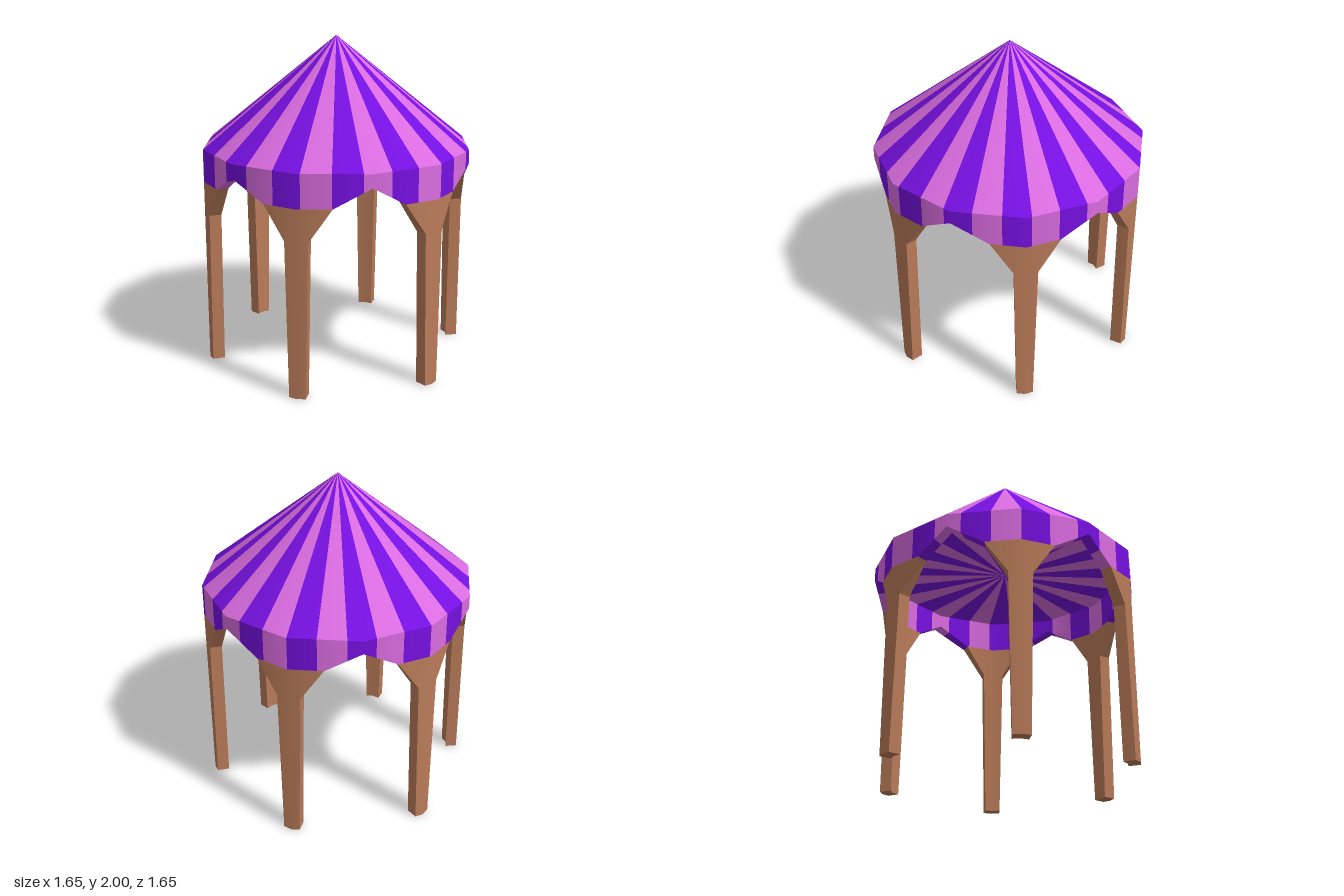
import * as THREE from 'three';

const R = 0.823;        // corner radius of the twelve-sided plan
const INNER = 0.91;     // inner shell scale
const APEX = 2, EAVE = 1.34, SPRING = 1.14, ARCH = 1.26;
const HALF = 0.49;      // half width of a leg head, in plan edges

// Point on the twelve-sided outline; t counts corners from the front (+z) towards +x.
function at(t, y, s = 1) {
  const i = Math.floor(t), f = t - i;
  const corner = (k) => [Math.sin(k * Math.PI / 6), Math.cos(k * Math.PI / 6)];
  const [ax, az] = corner(i), [bx, bz] = corner(i + 1);
  return new THREE.Vector3((ax + (bx - ax) * f) * R * s, y, (az + (bz - az) * f) * R * s);
}

// Normal rules for smooth faces
const outward = (p) => new THREE.Vector3(p.x, 0, p.z).normalize();
const inward = (p) => outward(p).negate();

// Collects triangles; without a normal rule a face is flat.
class Surface {
  constructor() { this.pos = []; this.nor = []; }
  tri(a, b, c, rule) {
    const flat = b.clone().sub(a).cross(c.clone().sub(a)).normalize();
    for (const p of [a, b, c]) {
      this.pos.push(p.x, p.y, p.z);
      this.nor.push(...(rule ? rule(p) : flat).toArray());
    }
  }
  quad(a, b, c, d, rule) { this.tri(a, b, c, rule); this.tri(a, c, d, rule); }
  mesh(name, material) {
    const g = new THREE.BufferGeometry();
    g.setAttribute('position', new THREE.Float32BufferAttribute(this.pos, 3));
    g.setAttribute('normal', new THREE.Float32BufferAttribute(this.nor, 3));
    const m = new THREE.Mesh(g, material);
    m.name = name;
    return m;
  }
}

// Lower edge of the skirt: level at the legs, rising to a point between them
function legDistance(t) { return Math.abs(t - 2 * Math.round(t / 2)); }
function skirtBottom(t) {
  const d = legDistance(t);
  return d <= HALF ? SPRING : SPRING + (ARCH - SPRING) * (d - HALF) / (1 - HALF);
}

// Start of stripe k of 30, very slightly uneven around the canopy
function stripeStart(k) {
  const t = 0.4 * k;
  return t + 0.04 + 0.06 * Math.cos((t - 2) * Math.PI / 6);
}

function buildCanopy(materials) {
  const canopy = new THREE.Group();
  canopy.name = 'canopy';
  const make = () => materials.map(() => new Surface());
  const roof = make(), skirt = make(), ceiling = make();
  const apex = new THREE.Vector3(0, APEX, 0), centre = new THREE.Vector3(0, EAVE, 0);

  for (let k = 0; k < 30; k++) {
    // Split each stripe at the plan corners and the ends of the arches
    const start = stripeStart(k), end = stripeStart(k + 1);
    const cuts = [start, end];
    for (let i = 0; i <= 13; i++) {
      for (const c of i % 2 ? [i] : [i - HALF, i, i + HALF]) {
        if (c > start + 1e-4 && c < end - 1e-4) cuts.push(c);
      }
    }
    cuts.sort((a, b) => a - b);
    const side = k % 2;
    for (let j = 0; j + 1 < cuts.length; j++) {
      const a = cuts[j], b = cuts[j + 1], mid = (a + b) / 2;
      const ya = skirtBottom(a), yb = skirtBottom(b);

      // Sloping roof
      const midOut = outward(at(mid, 0));
      const slope = (p) => (p === apex ? midOut.clone() : outward(p))
        .multiplyScalar(APEX - EAVE).setY(R * 0.97).normalize();
      roof[side].tri(at(a, EAVE), at(b, EAVE), apex, slope);

      // Skirt: outside, inside and the underside of the arches
      skirt[side].quad(at(a, ya), at(b, yb), at(b, EAVE), at(a, EAVE), outward);
      skirt[side].quad(at(b, yb, INNER), at(a, ya, INNER), at(a, EAVE, INNER), at(b, EAVE, INNER), inward);
      if (legDistance(mid) > HALF) {
        skirt[side].quad(at(a, ya), at(a, ya, INNER), at(b, yb, INNER), at(b, yb));
      }

      // Flat ceiling
      ceiling[side].tri(centre, at(b, EAVE, INNER), at(a, EAVE, INNER));
    }
  }
  materials.forEach((m, i) => {
    canopy.add(roof[i].mesh('roofStripes', m), skirt[i].mesh('skirtStripes', m), ceiling[i].mesh('ceilingStripes', m));
  });
  return canopy;
}

// Leg around the corner t, flaring into the arches at the top
function buildLeg(t, material) {
  const s = new Surface();
  const rows = [[0, 0.123], [0.945, 0.17], [SPRING, HALF]];
  for (let r = 0; r < 2; r++) {
    const [y0, u0] = rows[r], [y1, u1] = rows[r + 1];
    for (const [l, h] of [[-1, 0], [0, 1]]) {
      const a0 = t + l * u0, b0 = t + h * u0, a1 = t + l * u1, b1 = t + h * u1;
      s.quad(at(a0, y0), at(b0, y0), at(b1, y1), at(a1, y1), outward);
      s.quad(at(b0, y0, INNER), at(a0, y0, INNER), at(a1, y1, INNER), at(b1, y1, INNER), inward);
      if (r === 0) s.quad(at(a0, 0), at(a0, 0, INNER), at(b0, 0, INNER), at(b0, 0));
    }
    s.quad(at(t + u0, y0), at(t + u0, y0, INNER), at(t + u1, y1, INNER), at(t + u1, y1));
    s.quad(at(t - u0, y0, INNER), at(t - u0, y0), at(t - u1, y1), at(t - u1, y1, INNER));
  }
  return s.mesh('leg', material);
}

export function createModel() {
  const flat = (name, color) => {
    const m = new THREE.MeshStandardMaterial({ color });
    m.name = name;
    return m;
  };
  const pink = flat('pink', 0xd96ce0);
  const purple = flat('purple', 0x7610e0);
  const wood = flat('wood', 0xb97b59);

  const model = new THREE.Group();
  model.name = 'pavilion';
  model.add(buildCanopy([pink, purple]));
  const legs = new THREE.Group();
  legs.name = 'legs';
  for (let i = 0; i < 6; i++) legs.add(buildLeg(i * 2, wood));
  model.add(legs);
  return model;
}
